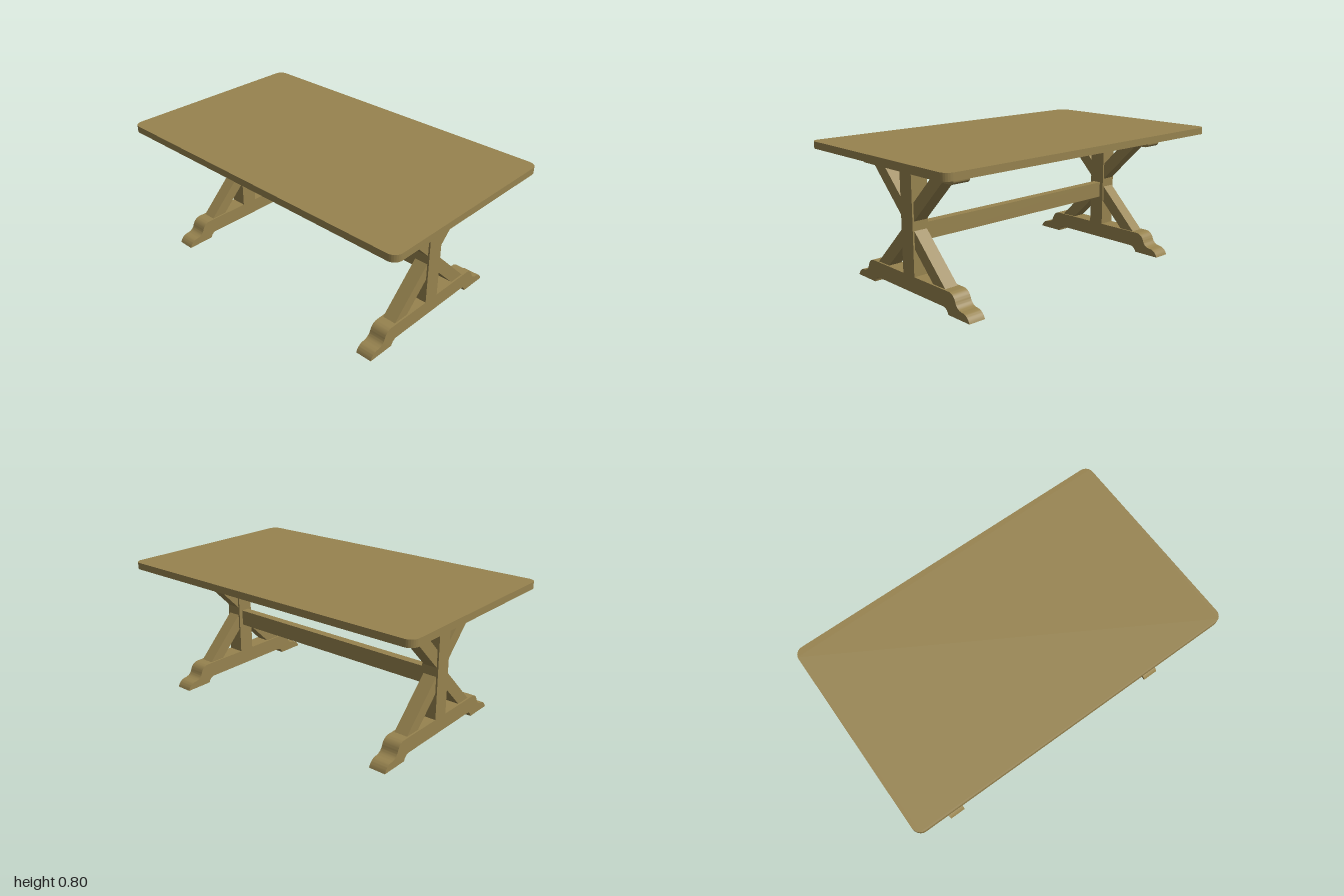
import * as THREE from 'three';
import { toCreasedNormals } from 'three/addons/utils/BufferGeometryUtils.js';

const TOP_Y = 0.755, TOP_H = 0.04, FOOT_H = 0.125, CLEAT_Y = 0.677;

export function createModel() {
  const wood = new THREE.MeshStandardMaterial({ color: 0x97834f });
  wood.name = 'oak wood';
  const table = new THREE.Group();
  table.name = 'trestleTable';

  const add = (parent, name, geometry, x = 0, y = 0, z = 0) => {
    const mesh = new THREE.Mesh(geometry, wood);
    mesh.name = name;
    mesh.position.set(x, y, z);
    parent.add(mesh);
    return mesh;
  };

  // Extrusion centred on z = 0, smooth along curves and sharp at corners
  const extrude = (shape, depth) => {
    const g = new THREE.ExtrudeGeometry(shape, { depth, bevelEnabled: false, curveSegments: 10 });
    g.translate(0, 0, -depth / 2);
    return toCreasedNormals(g, 0.6);
  };

  // Symmetrical outline from the points of its +x half, listed bottom to top
  const mirrored = (half) => new THREE.Shape([
    ...half,
    ...half.slice().reverse().map((p) => new THREE.Vector2(-p.x, p.y)),
  ]);

  // Points of a half outline built from lines and curves
  const halfOutline = (draw) => {
    const path = new THREE.Path();
    draw(path);
    return path.getPoints(10);
  };

  // Tabletop with rounded corners
  const w = 0.6, l = 1, r = 0.05;
  const top = new THREE.Shape();
  top.moveTo(-w + r, -l);
  top.absarc(w - r, -l + r, r, -Math.PI / 2, 0);
  top.absarc(w - r, l - r, r, 0, Math.PI / 2);
  top.absarc(-w + r, l - r, r, Math.PI / 2, Math.PI);
  top.absarc(-w + r, -l + r, r, Math.PI, Math.PI * 1.5);
  const topGeometry = extrude(top, TOP_H);
  topGeometry.rotateX(-Math.PI / 2);
  add(table, 'tabletop', topGeometry, 0, TOP_Y + TOP_H / 2, 0);

  // Foot: arched underneath, ogee shoulders
  const foot = extrude(mirrored(halfOutline((p) => {
    p.moveTo(0.29, 0.034);
    p.bezierCurveTo(0.31, 0.034, 0.328, 0.022, 0.333, 0);
    p.lineTo(0.5, 0);
    p.bezierCurveTo(0.49, 0.027, 0.47, 0.043, 0.443, 0.044);
    p.bezierCurveTo(0.415, 0.046, 0.398, 0.062, 0.392, 0.083);
    p.bezierCurveTo(0.383, 0.108, 0.365, 0.125, 0.338, FOOT_H);
  })), 0.1);

  // Cleat under the top with stepped, scrolled ends
  const cleat = extrude(mirrored(halfOutline((p) => {
    p.moveTo(0.375, CLEAT_Y);
    p.bezierCurveTo(0.39, CLEAT_Y, 0.4, 0.686, 0.4, 0.7);
    p.bezierCurveTo(0.401, 0.717, 0.41, 0.728, 0.425, 0.728);
    p.bezierCurveTo(0.44, 0.728, 0.449, 0.739, 0.449, TOP_Y);
  })), 0.1);

  // Diagonal braces, cut flush against post, foot and cleat
  const brace = (side, y, dir) => extrude(new THREE.Shape([
    [0.2, y], [0.3, y], [0.05, y + dir * 0.25], [0.05, y + dir * 0.15],
  ].map(([x, v]) => new THREE.Vector2(side * x, v))), 0.08);

  for (const end of [1, -1]) {
    const trestle = new THREE.Group();
    trestle.name = end > 0 ? 'frontTrestle' : 'backTrestle';
    trestle.position.z = end * 0.75;
    table.add(trestle);
    add(trestle, 'foot', foot);
    add(trestle, 'cleat', cleat);
    add(trestle, 'post', new THREE.BoxGeometry(0.1, CLEAT_Y - FOOT_H, 0.1), 0, (CLEAT_Y + FOOT_H) / 2, 0);
    for (const side of [1, -1]) {
      const name = side > 0 ? 'left' : 'right';
      add(trestle, name + 'LowerBrace', brace(side, FOOT_H, 1));
      add(trestle, name + 'UpperBrace', brace(side, CLEAT_Y, -1));
    }
  }

  // Long stretcher joining the two posts
  add(table, 'stretcher', new THREE.BoxGeometry(0.05, 0.096, 1.4), 0, 0.353, 0);

  return table;
}
